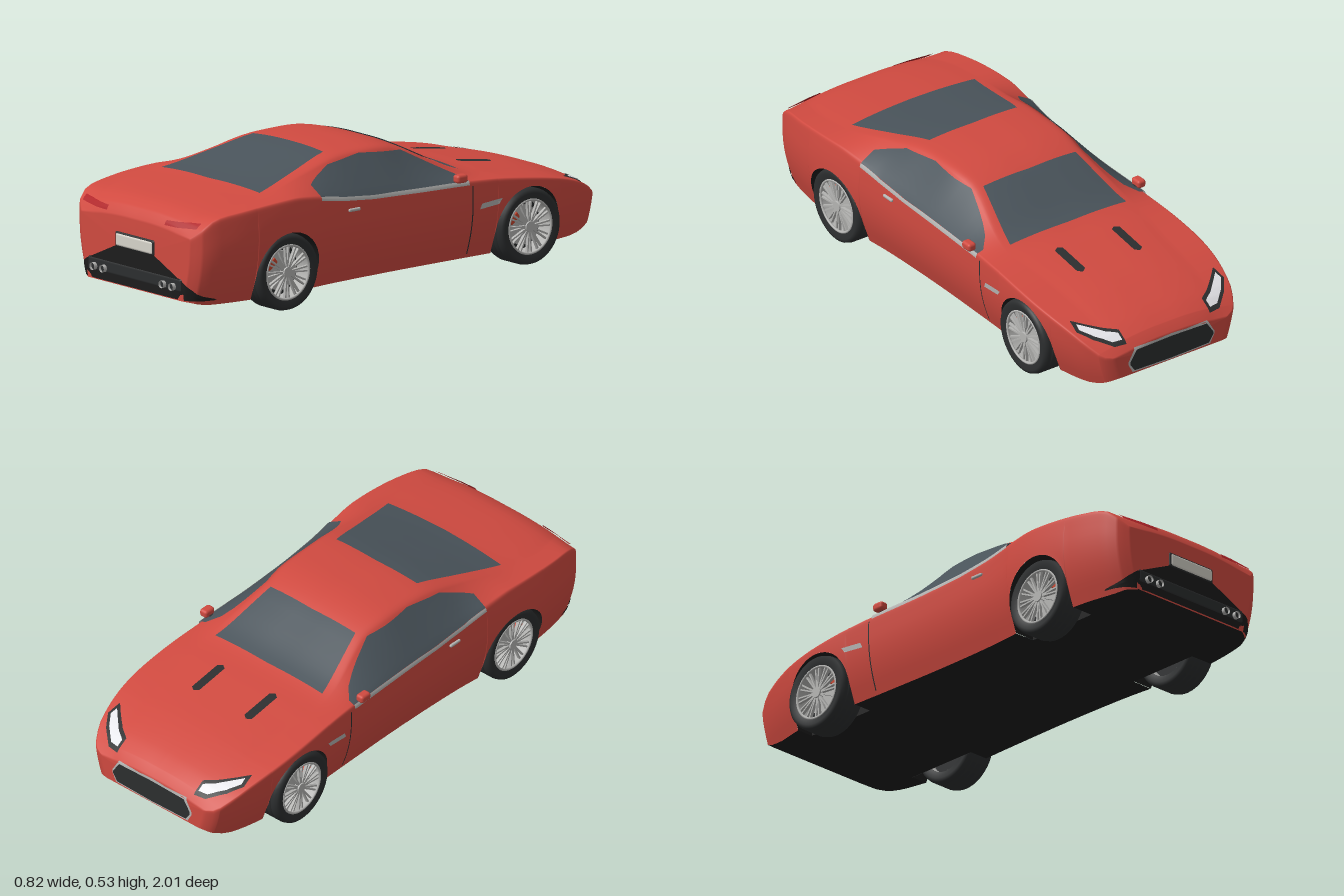
import * as THREE from 'three';
import { RoundedBoxGeometry } from 'three/addons/geometries/RoundedBoxGeometry.js';

const mat = (color) => new THREE.MeshStandardMaterial({ color, side: THREE.DoubleSide });
const RED = new THREE.MeshStandardMaterial({ color: 0xd04a40 });
const BLACK = mat(0x1c1c1c), DARK = mat(0x2c2e2f), GLASS = mat(0x49535a), SILVER = mat(0xb4b4b2);
const WHITE = mat(0xe6e6ea), LAMP = mat(0xb02428), PLATE = mat(0xd6d3ca), CALIPER = mat(0xc8442c);

// Smooth curve through [z, value] points
const curve = (...p) => (z) => {
  const n = p.length - 1;
  let i = 0;
  while (i < n - 1 && z > p[i + 1][0]) i++;
  const slope = (k) => {
    const a = p[Math.max(k - 1, 0)], b = p[Math.min(k + 1, n)];
    return (b[1] - a[1]) / (b[0] - a[0]);
  };
  const h = p[i + 1][0] - p[i][0], t = (z - p[i][0]) / h, t2 = t * t, t3 = t2 * t;
  return (2 * t3 - 3 * t2 + 1) * p[i][1] + (t3 - 2 * t2 + t) * h * slope(i)
    + (3 * t2 - 2 * t3) * p[i + 1][1] + (t3 - t2) * h * slope(i + 1);
};

// Body lines along the length (nose at -z)
const topY = curve([-1, 0.215], [-0.97, 0.25], [-0.9, 0.285], [-0.75, 0.327], [-0.5, 0.366], [-0.38, 0.382], [-0.3, 0.408],
  [-0.2, 0.458], [-0.1, 0.506], [0, 0.529], [0.12, 0.532], [0.25, 0.524], [0.4, 0.49], [0.6, 0.445], [0.8, 0.42], [0.91, 0.4], [0.96, 0.37], [0.98, 0.335]);
const width = curve([-1, 0.26], [-0.985, 0.3], [-0.95, 0.325], [-0.9, 0.347], [-0.75, 0.38], [-0.6, 0.391], [-0.3, 0.385],
  [0, 0.381], [0.3, 0.388], [0.55, 0.408], [0.75, 0.402], [0.9, 0.377], [0.95, 0.355], [0.98, 0.31]);
const beltY = curve([-1, 0.195], [-0.9, 0.258], [-0.75, 0.306], [-0.5, 0.345], [-0.3, 0.358], [0, 0.364], [0.3, 0.387],
  [0.45, 0.412], [0.55, 0.421], [0.8, 0.404], [0.92, 0.38], [0.98, 0.315]);
const roofW = curve([-1, 0.19], [-0.9, 0.24], [-0.6, 0.265], [-0.36, 0.285], [-0.1, 0.238], [0, 0.245], [0.2, 0.25],
  [0.4, 0.268], [0.6, 0.3], [0.8, 0.3], [0.98, 0.24]);
const floorY = curve([-1, 0.105], [-0.95, 0.078], [-0.88, 0.062], [-0.8, 0.06], [0.9, 0.06], [0.98, 0.075]);
const sideX = (y, z) => width(z) - (y < 0.29 ? 0.045 * ((0.29 - y) / 0.22) ** 2 : 0.012 * ((y - 0.29) / 0.13) ** 2);

const AXLES = [-0.604, 0.567], HUB = 0.145, ARCH = 0.154;
const lowY = (z) => {
  const d = Math.min(...AXLES.map((c) => Math.abs(z - c)));
  return d > ARCH + 1e-6 ? floorY(z) : HUB + Math.sqrt(Math.max(ARCH * ARCH - d * d, 0));
};

// Stations along the car, denser at both ends and around the wheel arches
function stations() {
  const zs = [-0.995, -0.985, -0.97, 0.955, 0.968, 0.976];
  for (let i = 0; i <= 60; i++) {
    const z = -1 + 1.98 * i / 60;
    if (AXLES.every((c) => Math.abs(z - c) > ARCH + 0.01)) zs.push(z);
  }
  for (const c of AXLES) {
    zs.push(c - ARCH - 0.001, c + ARCH + 0.001);
    for (let k = 0; k <= 20; k++) zs.push(c - ARCH * Math.cos(Math.PI * k / 20));
  }
  return zs.sort((a, b) => a - b);
}

// One rounded cross-section, from the +x sill over the roof to the -x sill
function section(z) {
  const low = lowY(z), belt = beltY(z), top = topY(z), rw = roofW(z), ry = top - 0.014;
  const bx = sideX(belt, z), mid = belt - 0.025;
  let pts = [0, 0.33, 0.66, 1].map((f) => low + (mid - low) * f).map((y) => [sideX(y, z), y]);
  const up = (f) => [bx + (rw - bx) * f, belt + (ry - belt) * f];
  pts.push([bx, belt], up(0.12), up(0.85), [rw, ry], [rw * 0.8, ry + 0.007], [rw * 0.4, top], [0, top]);
  for (let k = 0; k < 2; k++) {
    const next = [pts[0]];
    for (let i = 0; i < pts.length - 1; i++) {
      const [a, b] = [pts[i], pts[i + 1]];
      for (const f of [0.25, 0.75]) next.push([a[0] + (b[0] - a[0]) * f, a[1] + (b[1] - a[1]) * f]);
    }
    next.push(pts[pts.length - 1]);
    pts = next;
  }
  return [...pts, ...pts.slice(0, -1).reverse().map(([x, y]) => [-x, y])].map(([x, y]) => [x, y, z]);
}

// Surface through rows of points, optionally closed at both ends
function loft(rows, caps = false) {
  const n = rows[0].length, m = rows.length, pos = rows.flat(2), idx = [];
  for (let i = 0; i < m - 1; i++) for (let j = 0; j < n - 1; j++) {
    const a = i * n + j, c = a + n;
    idx.push(a, a + 1, c, a + 1, c + 1, c);
  }
  if (caps) {
    for (const r of [0, m - 1]) {
      const c = pos.length / 3, ys = rows[r].map((p) => p[1]);
      pos.push(0, (Math.min(...ys) + Math.max(...ys)) / 2, rows[r][0][2]);
      for (let j = 0; j < n; j++) {
        const a = r * n + j, b = r * n + (j + 1) % n;
        r ? idx.push(c, a, b) : idx.push(c, b, a);
      }
    }
  }
  const g = new THREE.BufferGeometry();
  g.setAttribute('position', new THREE.Float32BufferAttribute(pos, 3));
  g.setIndex(idx);
  g.computeVertexNormals();
  return g;
}

function wheel(side) {
  const w = new THREE.Group(), spin = new THREE.Group();
  spin.rotation.z = -side * Math.PI / 2;
  w.add(spin);
  const put = (name, geo, m, y = 0) => {
    const o = new THREE.Mesh(geo, m);
    o.name = name; o.position.y = y; spin.add(o);
    return o;
  };
  // Tyre with tread grooves
  const prof = [[0.102, -0.052], [0.128, -0.06], [0.141, -0.054], [0.145, -0.04]];
  for (const g of [-0.025, 0, 0.025]) prof.push([0.145, g - 0.004], [0.14, g - 0.003], [0.14, g + 0.003], [0.145, g + 0.004]);
  prof.push([0.145, 0.04], [0.141, 0.054], [0.128, 0.06], [0.102, 0.052]);
  put('tyre', new THREE.LatheGeometry(prof.map((p) => new THREE.Vector2(...p)), 48), DARK);
  put('rimBarrel', new THREE.CylinderGeometry(0.102, 0.102, 0.104, 40, 1, true), SILVER);
  put('wheelBack', new THREE.CylinderGeometry(0.1, 0.1, 0.01, 40), DARK, -0.02);
  put('brakeDisc', new THREE.CylinderGeometry(0.075, 0.075, 0.008, 32), SILVER, 0.008);
  put('hub', new THREE.CylinderGeometry(0.02, 0.024, 0.02, 20), SILVER, 0.044);
  put('rimLip', new THREE.TorusGeometry(0.102, 0.005, 8, 48), SILVER, 0.051).rotation.x = Math.PI / 2;
  // Paired spokes
  for (let i = 0; i < 24; i++) {
    const a = Math.PI / 6 * Math.floor(i / 2) + (i % 2 ? 0.09 : -0.09);
    const s = put('spoke', new THREE.BoxGeometry(0.082, 0.012, 0.006), SILVER, 0.043);
    s.position.x = 0.06 * Math.cos(a); s.position.z = -0.06 * Math.sin(a);
    s.rotation.y = a;
  }
  const cal = new THREE.Mesh(new RoundedBoxGeometry(0.03, 0.05, 0.028, 2, 0.006), CALIPER);
  cal.name = 'brakeCaliper'; cal.position.set(side * 0.02, 0.036, 0.06); cal.rotation.x = -0.95;
  w.add(cal);
  return w;
}

export function createModel() {
  const car = new THREE.Group();
  const add = (name, geo, m, x = 0, y = 0, z = 0) => {
    const o = new THREE.Mesh(geo, m);
    o.name = name; o.position.set(x, y, z); car.add(o);
    return o;
  };
  const zs = stations();
  const body = add('bodyShell', loft(zs.map(section), true), RED);

  // Flat underside, narrowed between the wheels
  add('underbody', loft(zs.map((z) => {
    const w = lowY(z) > 0.14 ? 0.26 : sideX(floorY(z), z), y = floorY(z) + 0.001;
    return [[-w, y, z], [w, y, z]];
  })), BLACK);

  // Panel laid on the body between two outlines, projected along an axis
  const ray = new THREE.Raycaster();
  const along = (p, t) => {
    const f = t * (p.length - 1), i = Math.min(Math.floor(f), p.length - 2), k = f - i;
    return [0, 1].map((c) => p[i][c] + (p[i + 1][c] - p[i][c]) * k);
  };
  const views = {
    top: (u, v, s) => [[s * u, 2, v], [0, -1, 0]],
    side: (u, v, s) => [[s * 2, v, u], [-s, 0, 0]],
    rear: (u, v, s) => [[s * u, v, 2], [0, 0, -1]],
    front: (u, v, s) => [[s * u, v, -2], [0, 0, 1]],
  };
  const panel = (name, m, view, a, b, off = 0.004, s = 1, nv = 10) => {
    const nu = (a.length - 1) * Math.ceil(20 / (a.length - 1)), rows = [];
    let last = null;
    for (let i = 0; i <= nu; i++) {
      const p = along(a, i / nu), q = along(b, i / nu), row = [];
      for (let j = 0; j <= nv; j++) {
        const [o, d] = views[view](p[0] + (q[0] - p[0]) * j / nv, p[1] + (q[1] - p[1]) * j / nv, s);
        ray.set(new THREE.Vector3(...o), new THREE.Vector3(...d));
        const hit = ray.intersectObject(body)[0];
        if (hit) last = hit.point.addScaledVector(hit.face.normal, off).toArray();
        row.push(last || [0, 0.2, 0]);
      }
      rows.push(row);
    }
    add(name, loft(rows), m);
  };

  // Glass
  panel('windscreen', GLASS, 'top', [[-0.265, -0.355], [0, -0.36], [0.265, -0.355]], [[-0.21, -0.11], [0, -0.115], [0.21, -0.11]]);
  panel('rearWindow', GLASS, 'top', [[-0.2, 0.24], [0, 0.235], [0.2, 0.24]], [[-0.28, 0.615], [0, 0.625], [0.28, 0.615]]);

  // Nose: grille with bright surround
  const grille = (g) => [
    [[-0.19 - g, 0.15], [-0.17 - g, 0.12 - g], [0, 0.116 - g], [0.17 + g, 0.12 - g], [0.19 + g, 0.15]],
    [[-0.19 - g, 0.16], [-0.16 - g, 0.205 + g], [0, 0.209 + g], [0.16 + g, 0.205 + g], [0.19 + g, 0.16]]];
  panel('grilleSurround', SILVER, 'front', ...grille(0.007), 0.002);
  panel('grille', DARK, 'front', ...grille(0), 0.005);

  // Tail: diffuser, plate and exhaust panel
  const lip = [[-0.34, 0.085], [-0.31, 0.12], [-0.28, 0.145], [-0.11, 0.222]];
  const upper = [...lip, ...lip.map(([x, y]) => [-x, y]).reverse()];
  panel('diffuser', BLACK, 'rear', upper.map(([x]) => [x, 0.079]), upper, 0.003);
  add('exhaustPanel', new RoundedBoxGeometry(0.54, 0.055, 0.06, 3, 0.012), DARK, 0, 0.133, 0.955);
  add('plateFrame', new RoundedBoxGeometry(0.225, 0.06, 0.02, 3, 0.009), DARK, 0, 0.248, 0.976);
  add('plate', new RoundedBoxGeometry(0.212, 0.05, 0.02, 3, 0.009), PLATE, 0, 0.248, 0.979);

  for (const s of [1, -1]) {
    const sill = [[0.41, 0.405], [0.3, 0.388], [0.15, 0.373], [-0.08, 0.364], [-0.31, 0.358]];
    panel('sideWindow', GLASS, 'side', sill, [[0.41, 0.44], [0.28, 0.49], [0.12, 0.508], [-0.09, 0.487], [-0.31, 0.366]], 0.004, s);
    panel('windowTrim', SILVER, 'side', sill.map(([z, y]) => [z, y - 0.013]), sill, 0.006, s, 3);
    panel('headlampSurround', DARK, 'top', [[0.19, -0.98], [0.24, -0.972], [0.3, -0.92], [0.337, -0.868]],
      [[0.19, -0.93], [0.235, -0.9], [0.285, -0.855], [0.328, -0.812]], 0.003, s);
    panel('headlamp', WHITE, 'top', [[0.2, -0.966], [0.238, -0.958], [0.29, -0.912], [0.324, -0.866]],
      [[0.2, -0.94], [0.24, -0.914], [0.284, -0.872], [0.318, -0.838]], 0.006, s);
    panel('bonnetVent', DARK, 'top', [[0.112, -0.615], [0.13, -0.627], [0.148, -0.615]], [[0.112, -0.475], [0.13, -0.463], [0.148, -0.475]], 0.004, s);
    panel('tailLamp', LAMP, 'rear', [[0.165, 0.344], [0.25, 0.345], [0.325, 0.351]], [[0.165, 0.36], [0.25, 0.364], [0.328, 0.369]], 0.006, s);
    panel('sideVent', SILVER, 'side', [[-0.36, 0.247], [-0.45, 0.255]], [[-0.37, 0.268], [-0.465, 0.276]], 0.005, s);
    panel('doorSeam', DARK, 'side', [[-0.33, 0.075], [-0.325, 0.34]], [[-0.335, 0.075], [-0.33, 0.34]], 0.002, s, 2);
    add('doorHandle', new RoundedBoxGeometry(0.014, 0.012, 0.055, 2, 0.005), SILVER, s * sideX(0.335, 0.245), 0.335, 0.245);

    // Door mirror
    add('mirrorStalk', new THREE.BoxGeometry(0.04, 0.01, 0.02), DARK, s * 0.365, 0.366, -0.265);
    add('mirror', new RoundedBoxGeometry(0.036, 0.032, 0.05, 3, 0.011), RED, s * 0.388, 0.378, -0.265);

    for (const x of [0.17, 0.225]) {
      const pipe = add('exhaustPipe', new THREE.CylinderGeometry(0.014, 0.014, 0.08, 20, 1, true), SILVER, s * x, 0.125, 0.96);
      pipe.rotation.x = Math.PI / 2;
      add('exhaustBore', new THREE.CircleGeometry(0.014, 20), DARK, s * x, 0.125, 0.99);
    }

    for (const c of AXLES) {
      // Wheel housing
      const arc = [[0.06, c - ARCH]];
      for (let k = 0; k <= 24; k++) arc.push([HUB + ARCH * Math.sin(Math.PI * k / 24), c - ARCH * Math.cos(Math.PI * k / 24)]);
      arc.push([0.06, c + ARCH]);
      add('wheelHousing', loft(arc.map(([y, z]) => [[s * 0.26, y, z], [s * sideX(y, z), y, z]])), BLACK);
      add('wheelHousingWall', loft(arc.map(([y, z]) => [[s * 0.26, y, z], [s * 0.26, 0.06, z]])), BLACK);
      const w = wheel(s);
      w.name = c < 0 ? 'frontWheel' : 'rearWheel';
      w.position.set(s * 0.334, HUB, c);
      car.add(w);
    }
  }
  return car;
}
